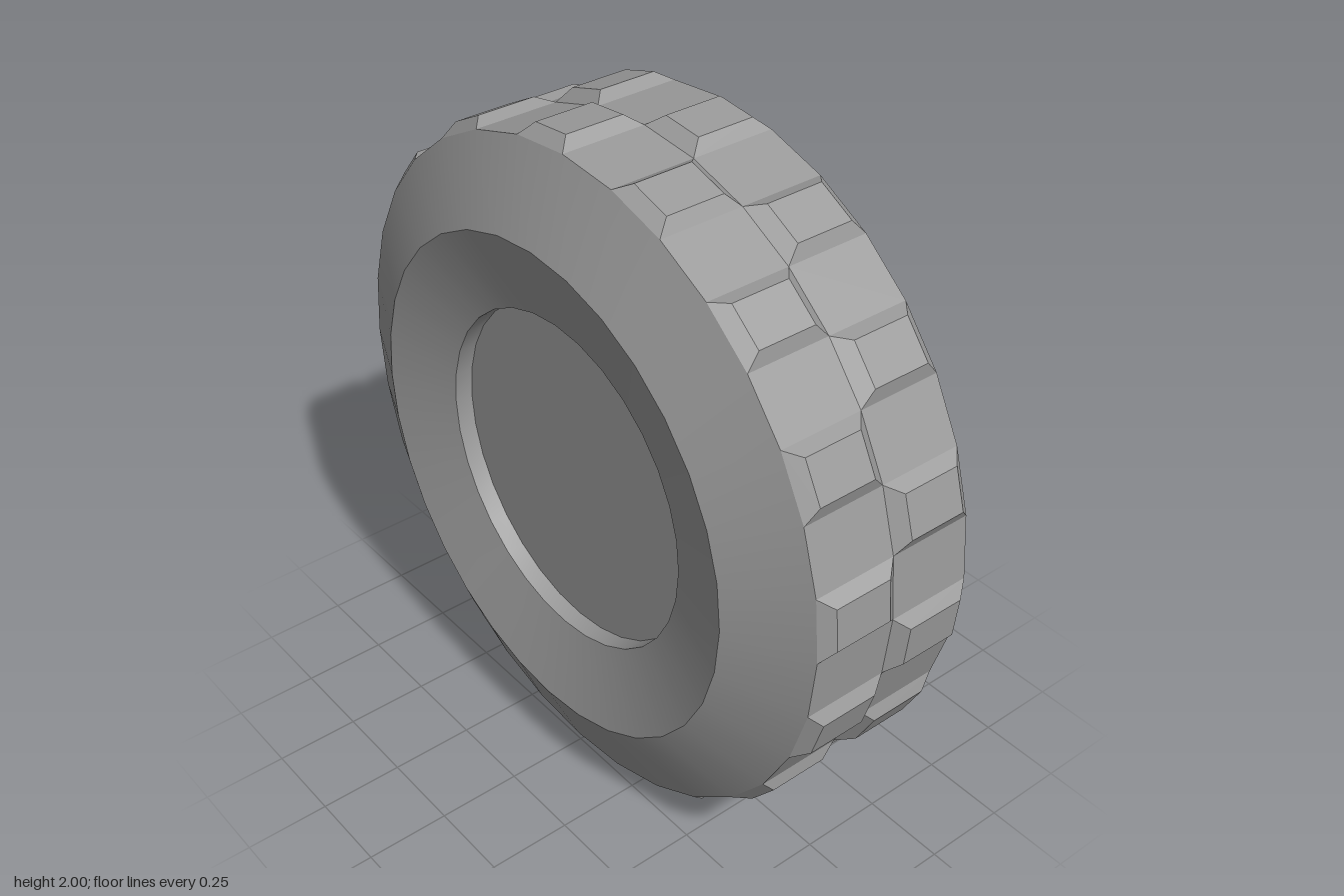
import * as THREE from 'three';
import { toCreasedNormals } from 'three/addons/utils/BufferGeometryUtils.js';

const SEGMENTS = 32;
const STEP = (Math.PI * 2) / SEGMENTS;
const FLOOR = 0.972; // radius of the tread floor
const SHOULDER = 0.256; // half width of the tread

// Side of the tyre as [radius, distance from the middle plane]
const SIDE_PROFILE = [
  [FLOOR, SHOULDER], // shoulder
  [0.737, 0.362], // rim of the sidewall
  [0.5, 0.295], // hub opening
  [0.5, 0.24],
  [0, 0.24], // hub disc
];

function makeSideGeometry() {
  const profile = SIDE_PROFILE.map(([r, x]) => new THREE.Vector2(r, x));
  const lathe = new THREE.LatheGeometry(profile, SEGMENTS);
  lathe.rotateZ(-Math.PI / 2);
  return toCreasedNormals(lathe, 0.35);
}

// Four corners of a patch around the x axis, counter-clockwise from outside
function patch(radius, x0, x1, angle, halfAngle) {
  const corner = (x, a) => [x, -radius * Math.sin(a), radius * Math.cos(a)];
  const a0 = angle - halfAngle;
  const a1 = angle + halfAngle;
  return [corner(x0, a0), corner(x0, a1), corner(x1, a1), corner(x1, a0)];
}

// Two rows of cells, each alternating a flat floor with a bevelled block
function makeTreadGeometry() {
  const positions = [];
  const quad = (a, b, c, d) => positions.push(...a, ...b, ...c, ...a, ...c, ...d);

  for (const side of [1, -1]) {
    // Lower and upper x of a cell reaching from inner to outer distance
    const span = (inner, outer) => (side > 0 ? [inner, outer] : [-outer, -inner]);
    for (let i = 0; i < SEGMENTS; i++) {
      const angle = (i + 0.5) * STEP;
      const base = patch(FLOOR, ...span(0, SHOULDER), angle, STEP / 2);
      const isBlock = (i % 2 === 0) === (side > 0);
      if (!isBlock) {
        quad(...base);
        continue;
      }
      const top = patch(1, ...span(0.04, 0.218), angle, THREE.MathUtils.degToRad(3.6));
      quad(...top);
      for (let k = 0; k < 4; k++) {
        const next = (k + 1) % 4;
        quad(base[k], base[next], top[next], top[k]);
      }
    }
  }

  const geometry = new THREE.BufferGeometry();
  geometry.setAttribute('position', new THREE.Float32BufferAttribute(positions, 3));
  geometry.computeVertexNormals();
  return geometry;
}

export function createModel() {
  const model = new THREE.Group();
  model.name = 'wheel';
  const material = new THREE.MeshStandardMaterial({ color: 0x9a9a9a });

  const tyre = new THREE.Group();
  tyre.name = 'tyre';
  tyre.position.y = 1;
  model.add(tyre);

  // Dished sides, one turned half way round to face the other way
  const sideGeometry = makeSideGeometry();
  for (const name of ['leftSide', 'rightSide']) {
    const sideMesh = new THREE.Mesh(sideGeometry, material);
    sideMesh.name = name;
    sideMesh.rotation.y = name === 'leftSide' ? 0 : Math.PI;
    tyre.add(sideMesh);
  }

  // Staggered tread blocks
  const tread = new THREE.Mesh(makeTreadGeometry(), material);
  tread.name = 'tread';
  tyre.add(tread);

  return model;
}
